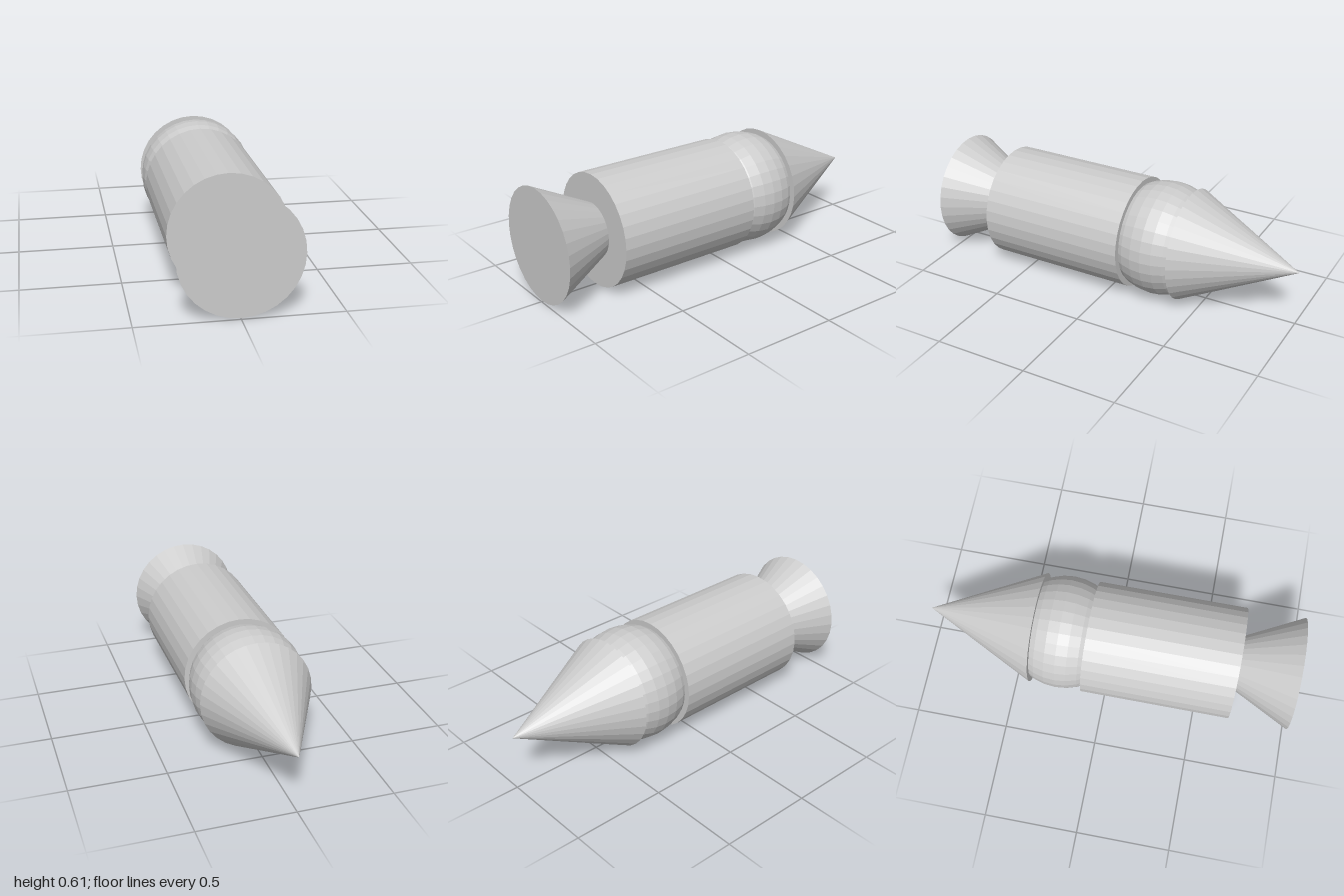
import * as THREE from 'three';

export function createModel() {
  const group = new THREE.Group();
  const material = new THREE.MeshStandardMaterial({ color: 0xcccccc, flatShading: true });
  const SIDES = 32;

  // Each part is turned about the long axis, its top pointing to the back (-z).
  const add = (name, geometry, y, z) => {
    const mesh = new THREE.Mesh(geometry.rotateX(-Math.PI / 2), material);
    mesh.name = name;
    mesh.position.set(0, y, z);
    group.add(mesh);
  };

  // Pointed nose at the back
  add('noseCone', new THREE.ConeGeometry(0.298, 0.6, SIDES), 0.304, -0.7);
  // Round collar between nose and body
  add('collarSphere', new THREE.SphereGeometry(0.304, SIDES, 16), 0.305, -0.255);
  // Main body
  add('body', new THREE.CylinderGeometry(0.3, 0.3, 0.8, SIDES), 0.303, 0.285);
  // Exhaust nozzle, its tip buried in the body
  add('nozzle', new THREE.ConeGeometry(0.301, 0.6, SIDES), 0.307, 0.697);

  return group;
}
